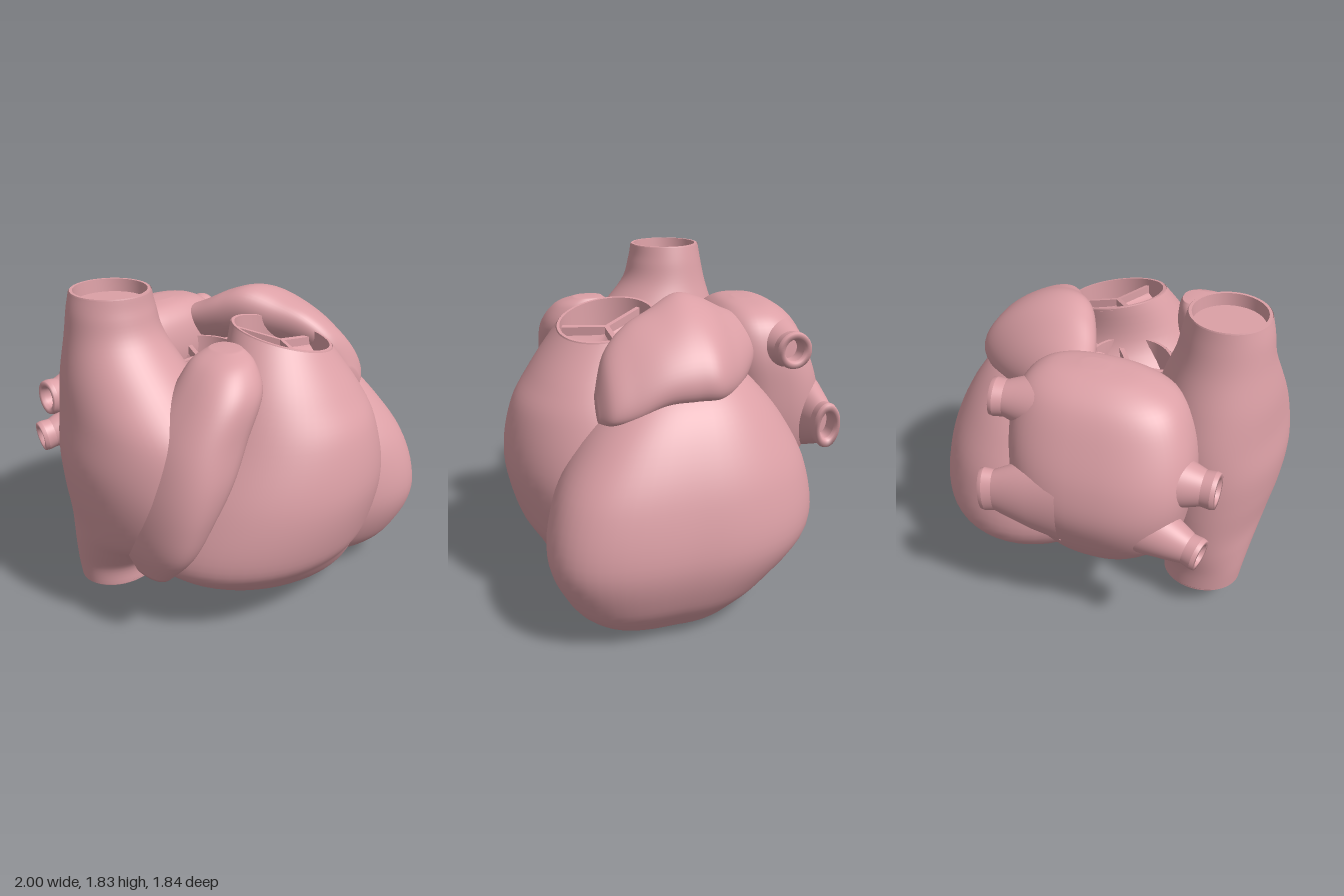
import * as THREE from 'three';
import { toCreasedNormals } from 'three/addons/utils/BufferGeometryUtils.js';

const material = new THREE.MeshStandardMaterial({ color: 0xdca0a6, side: THREE.DoubleSide });
const SIDES = 56, STEPS = 6;

function part(name, geometry, parent) {
  const mesh = new THREE.Mesh(geometry, material);
  mesh.name = name;
  parent.add(mesh);
  return mesh;
}

// Smooth curve through rows of numbers, column by column
function smoothRows(rows) {
  const out = [], n = rows.length, row = i => rows[Math.min(n - 1, Math.max(0, i))];
  for (let i = 0; i < n - 1; i++) {
    for (let s = 0; s < STEPS; s++) {
      const t = s / STEPS;
      out.push(rows[i].map((b, k) => {
        const a = row(i - 1)[k], c = row(i + 1)[k], d = row(i + 2)[k];
        return b + 0.5 * t * (c - a + t * (2 * a - 5 * b + 4 * c - d + t * (3 * (b - c) + d - a)));
      }));
    }
  }
  out.push(rows[n - 1]);
  return out;
}

// Stack of ovals: [y, centreX, centreZ, radiusX, radiusZ, tiltX, tiltZ].
// shear leans each oval, lean pulls only its front half to +x, round < 1 squares it off
function loft(rows, { shear = 0, lean = 0, round = 1, open = false } = {}) {
  let rings = smoothRows(rows.map(r => [...r, 0, 0].slice(0, 7)));
  if (!open) {
    const flat = r => [r[0], r[1], r[2], 0, 0, 0, 0];
    rings = [flat(rings[0]), ...rings, flat(rings[rings.length - 1])];
  }
  const soften = v => Math.sign(v) * Math.abs(v) ** round;
  const pos = [], index = [];
  rings.forEach(([y, cx, cz, rx, rz, tx, tz], i) => {
    const width = Math.sqrt(Math.max(0, rx * rx - (shear * rz) ** 2));
    for (let j = 0; j < SIDES; j++) {
      const a = j / SIDES * Math.PI * 2;
      const dz = rz * soften(Math.sin(a));
      const dx = width * soften(Math.cos(a)) + shear * dz + lean * rz * Math.max(0, Math.sin(a)) ** 1.5;
      pos.push(cx + dx, y + tx * dx + tz * dz, cz + dz);
      if (i === rings.length - 1) continue;
      const p = i * SIDES + j, q = i * SIDES + (j + 1) % SIDES;
      index.push(p, p + SIDES, q, q, p + SIDES, q + SIDES);
    }
  });
  const geo = new THREE.BufferGeometry();
  geo.setAttribute('position', new THREE.Float32BufferAttribute(pos, 3));
  geo.setIndex(index);
  geo.computeVertexNormals();
  return geo;
}

// Lathe from [radius, y] pairs with crisp rims
function lathe(points) {
  return toCreasedNormals(new THREE.LatheGeometry(points.map(p => new THREE.Vector2(...p)), SIDES), 0.7);
}

// Rim and recessed floor that close the end of a vessel
function socket(r, depth, floor = true) {
  const pts = [[r, -0.01], [r - 0.005, 0.005], [r - 0.02, 0.005], [r - 0.025, -depth]];
  if (floor) pts.push([0, -depth]);
  return lathe(pts);
}

// Three-cusped valve sunk in a rim, sheared to follow the slope of its opening
function valve(name, [x, y, z], r, startAngle, tiltX, tiltZ, parent) {
  const group = new THREE.Group();
  group.name = name;
  group.position.set(x, y, z);
  const slope = new THREE.Matrix4().set(1, 0, 0, 0, tiltX, 1, tiltZ, 0, 0, 0, 1, 0, 0, 0, 0, 1);
  part(name + 'Rim', socket(r, 0.2, false).applyMatrix4(slope), group);
  const cusps = new THREE.RingGeometry(0.002, r - 0.02, 72, 10).rotateX(-Math.PI / 2);
  const p = cusps.attributes.position;
  for (let i = 0; i < p.count; i++) {
    const angle = Math.atan2(-p.getZ(i), p.getX(i)) - startAngle;
    const out = Math.hypot(p.getX(i), p.getZ(i)) / r;
    p.setY(i, -0.06 - 0.11 * Math.abs(Math.sin(1.5 * angle)) ** 0.6 * out ** 0.7);
  }
  cusps.applyMatrix4(slope).computeVertexNormals();
  part(name + 'Cusps', cusps, group);
  for (let i = 0; i < 3; i++) {
    const ridge = new THREE.BoxGeometry(r - 0.02, 0.05, 0.025).translate(r / 2 - 0.01, -0.06, 0);
    part(name + 'Ridge', ridge.rotateY(startAngle + i * Math.PI * 2 / 3).applyMatrix4(slope), group);
  }
  parent.add(group);
}

// Flared vein whose hollow mouth sits at end and faces along dir
function vein(name, end, dir, width, height, parent) {
  const geo = lathe([[2, -0.42], [1.6, -0.26], [1.2, -0.14], [0.95, -0.07], [1, -0.02],
    [0.95, 0], [0.66, 0], [0.58, -0.02], [0.55, -0.09], [0, -0.09]]);
  const mesh = part(name, geo, parent);
  // Local x becomes vertical, local z horizontal
  const axis = new THREE.Vector3(...dir).normalize();
  const side = new THREE.Vector3().crossVectors(new THREE.Vector3(0, 1, 0), axis).normalize();
  const up = new THREE.Vector3().crossVectors(axis, side);
  mesh.quaternion.setFromRotationMatrix(new THREE.Matrix4().makeBasis(up, axis, side));
  mesh.scale.set(height, 1, width);
  mesh.position.set(...end);
}

export function createModel() {
  const heart = new THREE.Group();
  heart.name = 'heart';

  // Ventricles
  part('leftVentricle', loft([
    [0.005, 0.55, 0.1, 0.06, 0.1], [0.04, 0.53, 0.1, 0.2, 0.28], [0.1, 0.49, 0.12, 0.31, 0.42],
    [0.25, 0.44, 0.1, 0.47, 0.58], [0.5, 0.41, 0.04, 0.57, 0.73], [0.8, 0.38, 0.02, 0.56, 0.69],
    [1.05, 0.34, 0, 0.5, 0.55], [1.25, 0.33, -0.02, 0.37, 0.37], [1.4, 0.3, -0.03, 0.2, 0.2],
  ], { lean: 0.38 }), heart);
  part('rightVentricle', loft([
    [0.035, 0.34, 0.3, 0, 0, 0, 0], [0.045, 0.34, 0.3, 0.12, 0.1, 0, 0], [0.08, 0.3, 0.28, 0.3, 0.25, 0, 0],
    [0.2, 0.14, 0.28, 0.54, 0.38, 0, 0], [0.35, 0.01, 0.26, 0.67, 0.51, 0, 0], [0.5, -0.02, 0.26, 0.72, 0.6, 0, 0],
    [0.8, 0.02, 0.3, 0.66, 0.62, 0, 0], [1.1, 0.05, 0.36, 0.52, 0.51, 0, 0],
    [1.32, 0.07, 0.41, 0.4, 0.35, -0.1, -0.08], [1.545, 0.08, 0.34, 0.27, 0.27, -0.2, -0.15],
  ], { open: true }), heart);

  // Outflow valves
  valve('pulmonaryValve', [0.08, 1.545, 0.34], 0.27, 0.1, -0.2, -0.15, heart);
  part('aorticRoot', loft([
    [0.85, -0.1, -0.05, 0.3, 0.3], [1.1, -0.12, -0.07, 0.27, 0.27], [1.4, -0.13, -0.08, 0.235, 0.235],
  ], { open: true }), heart);
  valve('aorticValve', [-0.13, 1.4, -0.08], 0.235, 1.1, 0, 0, heart);

  // Right atrium with the upper and lower great veins
  part('rightAtrium', loft([
    [0.17, -0.635, -0.23, 0.22, 0.19], [0.3, -0.64, -0.22, 0.235, 0.21], [0.45, -0.62, -0.14, 0.285, 0.32],
    [0.6, -0.62, -0.02, 0.32, 0.46], [0.8, -0.62, 0.02, 0.36, 0.52], [1.0, -0.62, 0.02, 0.375, 0.53],
    [1.2, -0.62, 0, 0.35, 0.5], [1.4, -0.63, -0.08, 0.31, 0.38], [1.6, -0.645, -0.14, 0.25, 0.26],
    [1.74, -0.65, -0.15, 0.225, 0.22], [1.825, -0.65, -0.15, 0.205, 0.205],
  ], { open: true }), heart);
  part('upperVeinMouth', socket(0.205, 0.06), heart).position.set(-0.65, 1.825, -0.15);
  const lowerMouth = part('lowerVeinMouth', socket(0.22, 0.08), heart);
  lowerMouth.position.set(-0.635, 0.17, -0.23);
  lowerMouth.rotation.x = Math.PI;
  lowerMouth.scale.z = 0.87;
  part('rightAuricle', loft([
    [0.42, -0.77, 0.25, 0.06, 0.12], [0.6, -0.77, 0.28, 0.12, 0.25], [0.8, -0.73, 0.3, 0.17, 0.31],
    [1.0, -0.66, 0.35, 0.21, 0.3], [1.2, -0.58, 0.39, 0.22, 0.26], [1.4, -0.47, 0.42, 0.2, 0.22],
    [1.53, -0.41, 0.4, 0.14, 0.16], [1.585, -0.36, 0.37, 0.07, 0.08],
  ], { round: 0.85 }), heart);

  // Left atrium with four veins
  part('leftAtrium', loft([
    [0.42, -0.1, -0.48, 0.1, 0.1], [0.55, -0.12, -0.51, 0.28, 0.2], [0.75, -0.15, -0.56, 0.41, 0.28],
    [0.95, -0.15, -0.58, 0.46, 0.33], [1.15, -0.15, -0.57, 0.48, 0.32], [1.35, -0.13, -0.52, 0.46, 0.29],
    [1.5, -0.11, -0.49, 0.39, 0.23], [1.58, -0.08, -0.47, 0.25, 0.14], [1.605, -0.07, -0.46, 0.06, 0.05],
  ], { round: 0.8 }), heart);
  vein('leftUpperVein', [0.42, 1.4, -0.61], [1, 0.05, -0.15], 0.1, 0.1, heart);
  vein('leftLowerVein', [0.42, 0.96, -0.82], [1, -0.02, -0.15], 0.08, 0.13, heart);
  vein('rightUpperVein', [-0.76, 1.13, -0.64], [-1, 0, -0.05], 0.09, 0.1, heart);
  vein('rightLowerVein', [-0.73, 0.83, -0.79], [-1, -0.15, -0.25], 0.08, 0.09, heart);

  // Left auricle, stacked from back to front and draped over the ventricle
  part('leftAuricle', loft([
    [-0.46, 0.12, -1.42, 0.09, 0.06], [-0.38, 0.18, -1.41, 0.19, 0.13], [-0.26, 0.28, -1.41, 0.28, 0.19],
    [-0.13, 0.37, -1.44, 0.33, 0.23], [0, 0.41, -1.46, 0.31, 0.24], [0.15, 0.46, -1.43, 0.26, 0.21],
    [0.3, 0.5, -1.37, 0.21, 0.2], [0.42, 0.53, -1.3, 0.15, 0.15], [0.48, 0.54, -1.21, 0.06, 0.06],
  ], { shear: 0.7 }).rotateX(Math.PI / 2), heart);

  return heart;
}
